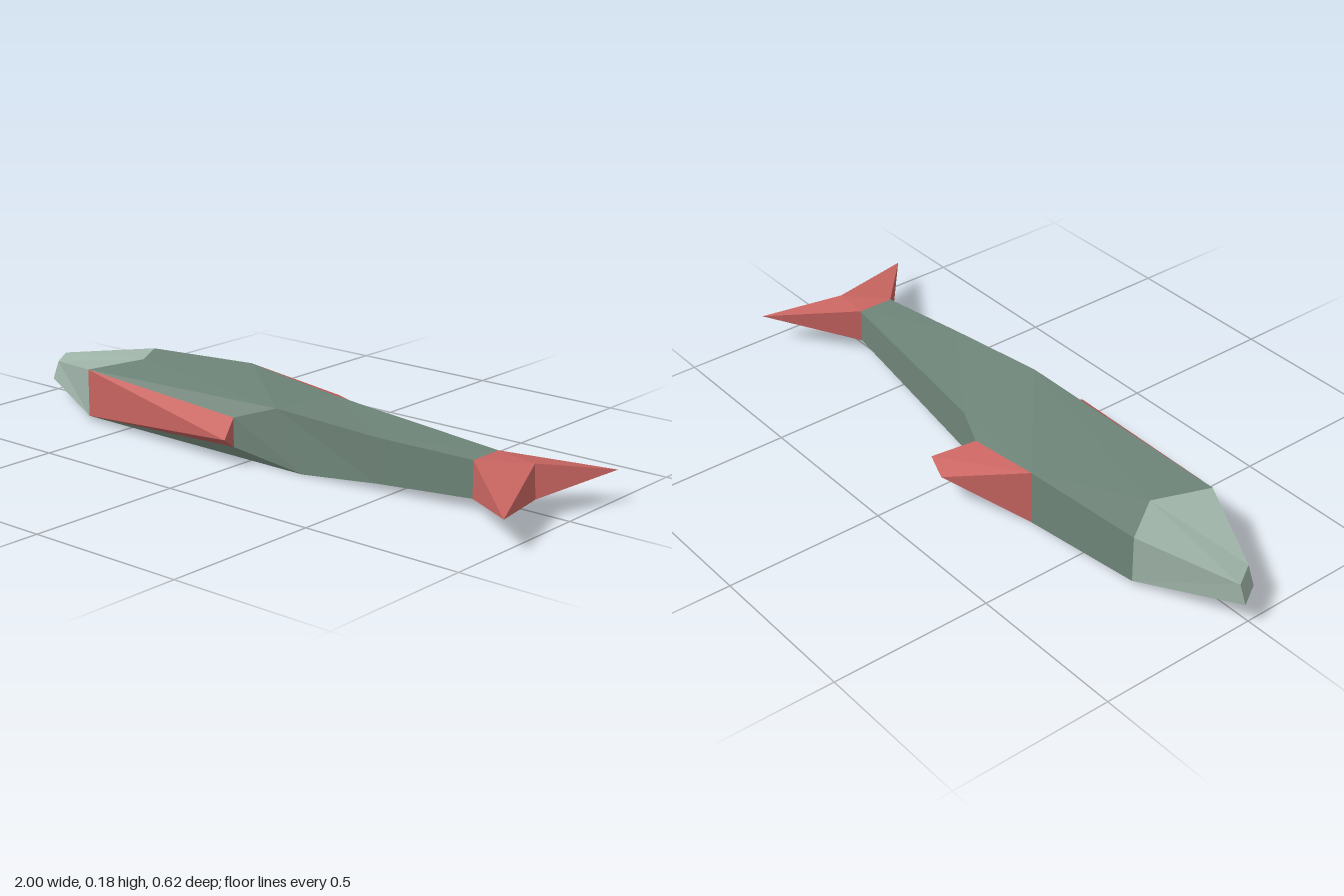
import * as THREE from 'three';

const bodyMat = new THREE.MeshStandardMaterial({ color: 0x6f8579, name: 'body green' });
const headMat = new THREE.MeshStandardMaterial({ color: 0xa0b5aa, name: 'pale head' });
const finMat = new THREE.MeshStandardMaterial({ color: 0xc96561, name: 'fin red' });
for (const m of [bodyMat, headMat, finMat]) m.flatShading = true;

// Outward directions used to orient each face
const UP = [0, 1, 0], DOWN = [0, -1, 0], LEFT = [1, 0, 0], RIGHT = [-1, 0, 0];
const FRONT = [0, 0, 1], BACK = [0, 0, -1];

// Collects convex polygons, each turned to face its given direction
function faceted() {
  const pos = [];
  const face = (dir, ...p) => {
    for (let i = 1; i < p.length - 1; i++) {
      const t = [p[0], p[i], p[i + 1]].map(v => new THREE.Vector3(...v));
      const n = t[1].clone().sub(t[0]).cross(t[2].clone().sub(t[0]));
      if (n.dot(new THREE.Vector3(...dir)) < 0) t.reverse();
      t.forEach(v => pos.push(v.x, v.y, v.z));
    }
  };
  // Same polygon on the upper and lower surface
  const caps = (...pairs) => {
    face(UP, ...pairs.map(p => p.t));
    face(DOWN, ...pairs.map(p => p.b));
  };
  // Wall between two edge stations
  const wall = (dir, p, q) => {
    face(dir, p.t, q.t, q.b);
    face(dir, p.t, q.b, p.b);
  };
  const mesh = (name, mat) => {
    const g = new THREE.BufferGeometry();
    g.setAttribute('position', new THREE.Float32BufferAttribute(pos, 3));
    g.computeVertexNormals();
    const m = new THREE.Mesh(g, mat);
    m.name = name;
    return m;
  };
  return { face, caps, wall, mesh };
}

// A station: an upper point and a lower point
const pair = (x, z, top, bottom, xb = x, zb = z) => ({ t: [x, top, z], b: [xb, bottom, zb] });

export function createModel() {
  const group = new THREE.Group();
  group.name = 'fish';

  // Stations along the back edge (a), the front edge (b) and the middle
  const a0 = pair(-0.98, -0.02, 0.125, 0.065, -1, -0.015);
  const a1 = pair(-0.69, -0.14, 0.165, 0.015);
  const a2 = pair(-0.30, -0.177, 0.176, 0.002);
  const a3 = pair(0.08, -0.122, 0.155, 0.024);
  const a4 = pair(0.75, -0.02, 0.145, 0.035);
  const b0 = pair(-0.93, 0.06, 0.12, 0.06, -0.95, 0.065);
  const b1 = pair(-0.66, 0.182, 0.165, 0.015);
  const b2 = pair(0.10, 0.163, 0.18, 0.002, 0.20, 0.163);
  const b3 = pair(0.45, 0.135, 0.157, 0.022);
  const b4 = pair(0.75, 0.097, 0.145, 0.035);
  const mid = pair(-0.60, 0, 0.172, 0.008);
  // Rear roots of the two side fins
  const ra = pair(-0.02, -0.157, 0.124, 0.055);
  const rb = pair(-0.04, 0.191, 0.132, 0.042);

  // Head
  const head = faceted();
  head.caps(a0, a1, mid);
  head.caps(a0, mid, b0);
  head.caps(b0, mid, b1);
  head.wall(BACK, a0, a1);
  head.wall(FRONT, b0, b1);
  head.wall(RIGHT, a0, b0);
  group.add(head.mesh('head', headMat));

  // Body
  const body = faceted();
  [[mid, a1, a2], [mid, a2, b2], [mid, b2, b1], [a2, a3, b2],
    [a3, b3, b2], [a3, a4, b3], [a4, b4, b3]].forEach(f => body.caps(...f));
  body.wall(BACK, a1, a2);
  body.wall(BACK, a3, a4);
  body.wall(FRONT, b2, b3);
  body.wall(FRONT, b3, b4);
  // Flanks around the fin roots
  for (const [dir, p, r, q] of [[BACK, a2, ra, a3], [FRONT, b1, rb, b2]]) {
    body.face(dir, p.t, q.t, r.t);
    body.face(dir, p.b, q.b, r.b);
    body.wall(dir, r, q);
  }
  group.add(body.mesh('body', bodyMat));

  // Side fins: wedges from a tall front root to a thin tip
  function sideFin(name, dir, p, r, ...tips) {
    const fin = faceted();
    const last = tips[tips.length - 1];
    fin.face(dir, p.t, tips[0], p.b);
    fin.face(UP, p.t, ...tips, r.t);
    fin.face(DOWN, p.b, ...tips, r.b);
    fin.face(LEFT, r.t, last, r.b);
    group.add(fin.mesh(name, finMat));
  }
  sideFin('backFin', BACK, a2, ra, [-0.06, 0.088, -0.315], [0.04, 0.088, -0.275]);
  sideFin('frontFin', FRONT, b1, rb, [-0.01, 0.085, 0.263]);

  // Forked tail
  const tail = faceted();
  const notch = pair(0.88, -0.005, 0.138, 0.055, 0.915, 0.04);
  const tipA = [1, 0.09, -0.235], tipB = [1, 0.09, 0.31];
  tail.caps(a4, b4, notch);
  for (const [dir, root, tip] of [[BACK, a4, tipA], [FRONT, b4, tipB]]) {
    tail.face(UP, root.t, tip, notch.t);
    tail.face(DOWN, root.b, tip, notch.b);
    tail.face(dir, root.t, root.b, tip);
    tail.face(LEFT, notch.t, notch.b, tip);
  }
  group.add(tail.mesh('tailFin', finMat));

  return group;
}
